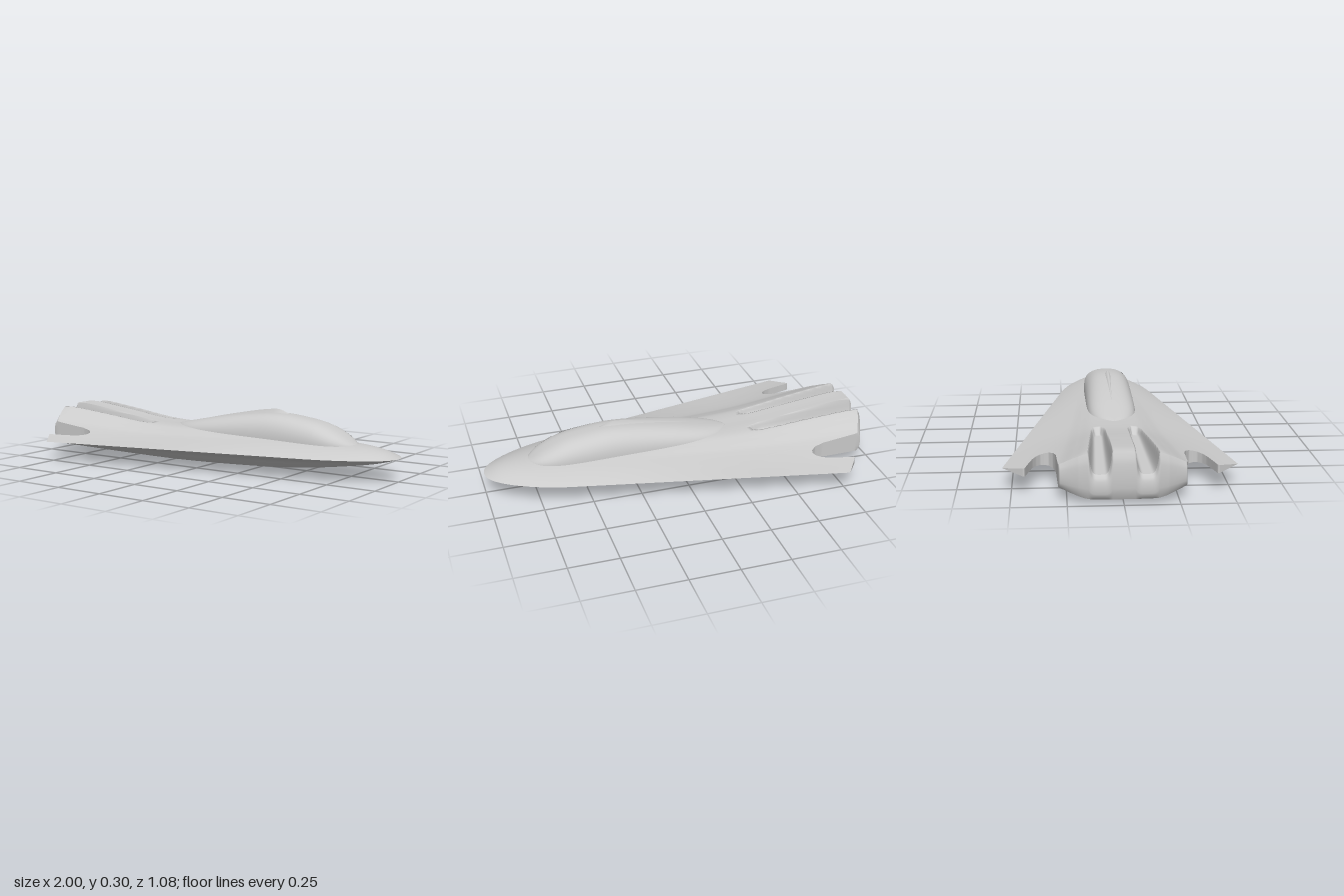
import * as THREE from 'three';

const { lerp, clamp, smoothstep } = THREE.MathUtils;

// Interpolate a table of [position, value]; smooth (Hermite) or straight
function sample(table, p, smooth = true) {
  const last = table.length - 1;
  p = clamp(p, table[0][0], table[last][0]);
  let i = 0;
  while (i < last - 1 && p > table[i + 1][0]) i++;
  const [x0, y0] = table[i], [x1, y1] = table[i + 1];
  const h = x1 - x0, t = (p - x0) / h;
  if (!smooth) return lerp(y0, y1, t);
  const slope = k => {
    const a = table[Math.max(k - 1, 0)], b = table[Math.min(k + 1, last)];
    return (b[1] - a[1]) / (b[0] - a[0]);
  };
  const t2 = t * t, t3 = t2 * t;
  return (2 * t3 - 3 * t2 + 1) * y0 + (t3 - 2 * t2 + t) * h * slope(i)
    + (3 * t2 - 2 * t3) * y1 + (t3 - t2) * h * slope(i + 1);
}

// Surface from a rule point(u, v) -> [x, y, z], u and v in 0..1
function surface(name, nu, nv, point, flip = false) {
  const pos = [], idx = [];
  for (let i = 0; i <= nu; i++)
    for (let j = 0; j <= nv; j++) pos.push(...point(i / nu, j / nv));
  for (let i = 0; i < nu; i++)
    for (let j = 0; j < nv; j++) {
      const a = i * (nv + 1) + j, b = a + 1, c = a + nv + 1, d = c + 1;
      if (flip) idx.push(a, c, b, b, c, d);
      else idx.push(a, b, c, b, d, c);
    }
  const geo = new THREE.BufferGeometry();
  geo.setAttribute('position', new THREE.Float32BufferAttribute(pos, 3));
  geo.setIndex(idx);
  geo.computeVertexNormals();
  const mesh = new THREE.Mesh(geo, new THREE.MeshStandardMaterial({ color: 0xcccccc, side: THREE.DoubleSide }));
  mesh.name = name;
  return mesh;
}

const SPAN = 0.54;

// Half width of the delta planform with its rounded nose
function halfWidth(x) {
  const u = clamp((x - 0.6) / 0.4, 0, 1);
  return (0.381 - 0.21 * x) * Math.pow(Math.max(1 - Math.pow(u, 2.2), 0), 1 / 2.3);
}

// Leading edge: the x at which the half width equals |z|
function leadingX(z) {
  let lo = -1, hi = 1;
  for (let k = 0; k < 40; k++) {
    const mid = (lo + hi) / 2;
    if (halfWidth(mid) > Math.abs(z)) lo = mid; else hi = mid;
  }
  return lo;
}

// Trailing edge with the round notch between body and wing tip
const REAR = [[0, -0.98], [0.155, -0.975], [0.2, -0.96], [0.284, -0.92], [0.288, -0.91],
  [0.296, -0.72], [0.308, -0.67], [0.328, -0.643], [0.348, -0.638], [0.368, -0.645],
  [0.388, -0.668], [0.404, -0.7], [0.42, -0.76], [0.436, -0.83], [0.442, -0.832], [0.54, -0.76]];
const rearX = z => sample(REAR, Math.abs(z), false);

const EDGE = [[-1, 0.102], [0, 0.106], [1, 0.11]];
const SPINE = [[-1, 0.24], [-0.93, 0.244], [-0.7, 0.22], [-0.4, 0.185], [0, 0.18], [0.5, 0.172], [0.8, 0.157], [0.92, 0.14], [1, 0.11]];
const KEEL = [[-1, 0.022], [-0.6, 0.008], [-0.2, 0], [0.2, 0.008], [0.5, 0.025], [0.8, 0.064], [0.94, 0.09], [1, 0.11]];
// Cross-section shapes from centre line (0) to edge (1)
const REAR_TOP = [[0, 1], [0.15, 1], [0.27, 0.93], [0.38, 0.72], [0.51, 0.45], [0.75, 0.19], [1, 0]];
const BELLY = [[0, 0], [0.15, 0], [0.28, 0.04], [0.4, 0.27], [0.5, 0.5], [0.6, 0.63], [0.8, 0.79], [1, 1]];

const spanRatio = (x, z) => clamp(Math.abs(z) / Math.max(halfWidth(x), 1e-5), 0, 1);

function topY(x, z) {
  const n = spanRatio(x, z), edge = sample(EDGE, x);
  const shape = lerp(sample(REAR_TOP, n), 1 - n * n, smoothstep(x, -0.4, 0.6));
  const y = edge + (sample(SPINE, x) - edge) * shape;
  // Two round-ended exhaust channels
  if (x < -0.4) {
    const k = (x + 1) / 0.6;
    const end = Math.sqrt(1 - Math.pow(Math.max((x + 0.46) / 0.06, 0), 2));
    const d = Math.abs(Math.abs(z) - lerp(0.104, 0.088, k)) / (lerp(0.053, 0.03, k) * end + 1e-5);
    if (d < 1) return lerp(lerp(0.135, 0.15, k), y, Math.pow(d, 5));
  }
  return y;
}

function bottomY(x, z) {
  return lerp(sample(KEEL, x), sample(EDGE, x), sample(BELLY, spanRatio(x, z)));
}

// Canopy: rounded sections over a tapering footprint
const ROOF = [[-0.3, 0.178], [-0.2, 0.2], [0, 0.24], [0.2, 0.27], [0.35, 0.28], [0.5, 0.266],
  [0.6, 0.246], [0.7, 0.203], [0.78, 0.155]];
function canopyPoint(x, a, offset = 0) {
  const u = Math.abs(x - 0.25) / 0.53;
  const hw = 0.128 * Math.sqrt(Math.max(1 - Math.pow(u, 5), 0)) + offset;
  const c = Math.cos(a), s = Math.max(Math.sin(a), 0), base = 0.14;
  return [x, base + (sample(ROOF, x) - base + offset) * Math.pow(s, 0.77),
    -hw * Math.sign(c) * Math.pow(Math.abs(c), 0.77)];
}

export function createModel() {
  const model = new THREE.Group();
  model.name = 'spacecraft';
  const rows = 270;

  // Hull skins run in strips from trailing edge to leading edge
  const skin = height => (u, v) => {
    const z = lerp(-SPAN, SPAN, v);
    const x = lerp(rearX(z), Math.max(leadingX(z), rearX(z)), u);
    return [x, height(x, z), z];
  };
  model.add(surface('upperHull', 100, rows, skin(topY)));
  model.add(surface('lowerHull', 50, rows, skin(bottomY), true));

  // Rear wall, bulging behind the body
  model.add(surface('rearWall', 8, rows, (u, v) => {
    const z = lerp(-SPAN, SPAN, v), x = rearX(z);
    const bulge = Math.abs(z) < 0.286 ? 0.02 * Math.sqrt(1 - Math.pow(2 * u - 1, 2)) : 0;
    return [x - bulge, lerp(bottomY(x, z), topY(x, z), u), z];
  }));

  // Canopy, with stations packed towards its round ends
  model.add(surface('canopy', 80, 48, (u, v) =>
    canopyPoint(0.25 - 0.53 * Math.cos(Math.PI * u), Math.PI * v)));

  // Slightly raised window panes following the canopy
  const pane = (name, x0, x1, a0, a1) => model.add(surface(name, 10, 12, (u, v) =>
    canopyPoint(lerp(x0, x1, u), lerp(a0, a1, v), 0.002)));
  pane('windscreen', 0.63, 0.745, 1.05, Math.PI - 1.05);
  for (const side of [0, 1]) {
    const window = (name, x0, x1, a0, a1) => side
      ? pane('left' + name, x0, x1, a0, a1)
      : pane('right' + name, x0, x1, Math.PI - a1, Math.PI - a0);
    window('QuarterWindow', 0.63, 0.72, 0.4, 0.98);
    window('SideWindow', 0.34, 0.59, 0.4, 0.85);
  }

  // Slim dorsal ridge on the roof
  const RIDGE = [[-0.1, 0], [0.1, 0.008], [0.3, 0.019], [0.34, 0.018], [0.4, 0]];
  model.add(surface('dorsalRidge', 40, 2, (u, v) => {
    const x = lerp(-0.1, 0.4, u), h = Math.max(sample(RIDGE, x), 0);
    const side = 2 * v - 1;
    return [x, sample(ROOF, x) + (side ? -0.004 : h), side * (0.004 + h * 0.6)];
  }));

  return model;
}
